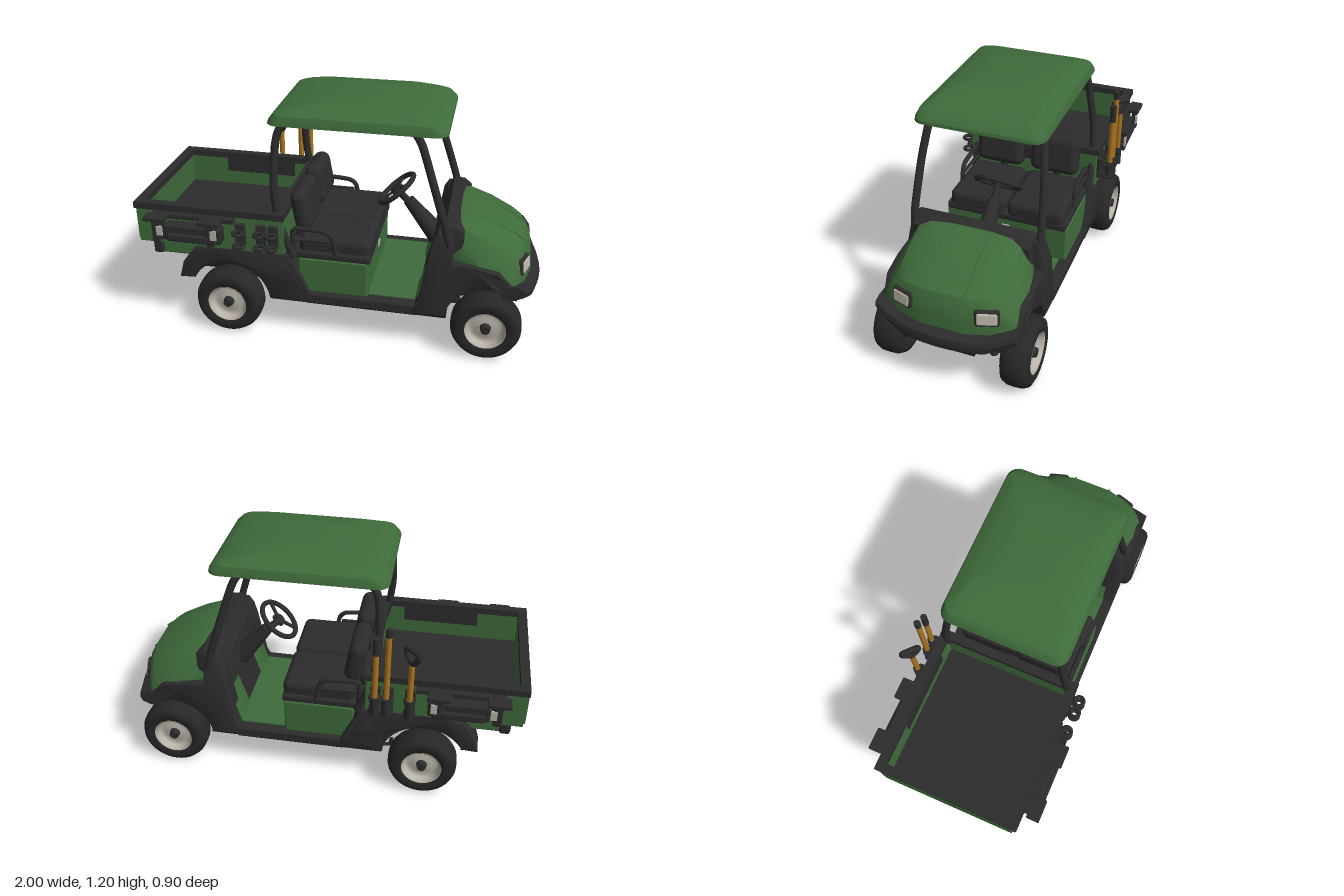
import * as THREE from 'three';
import { toCreasedNormals } from 'three/addons/utils/BufferGeometryUtils.js';
import { RoundedBoxGeometry } from 'three/addons/geometries/RoundedBoxGeometry.js';

const mat = (name, color, side = THREE.FrontSide) => Object.assign(new THREE.MeshStandardMaterial({ color, side }), { name });
const green = mat('green paint', 0x3f6b3b, THREE.DoubleSide), silver = mat('light grey metal', 0xb9b2a8, THREE.DoubleSide);
const black = mat('black plastic', 0x2c2c2c), rubber = mat('tyre rubber', 0x272727);
const dark = mat('dark underside', 0x1d1d1d), wood = mat('wood', 0xa8741f);
const V = (x, y, z) => new THREE.Vector3(x, y, z), O = [0, 0, 0], quarter = Math.PI / 2;
const poly = pts => new THREE.Shape(pts.map(p => new THREE.Vector2(...p)));
const lathe = (pts, n) => new THREE.LatheGeometry(pts.map(p => new THREE.Vector2(...p)), n);

export function createModel() {
  const root = new THREE.Group();
  const place = (obj, name, pos, rot, parent) => {
    obj.name = name;
    obj.position.set(...pos);
    obj.rotation.set(...rot);
    parent.add(obj);
    return obj;
  };
  const add = (name, geo, m, pos = O, rot = O, parent = root) => place(new THREE.Mesh(geo, m), name, pos, rot, parent);
  const group = (name, pos, rot = O) => place(new THREE.Group(), name, pos, rot, root);
  // Box given by its limits on each axis, optionally rounded
  const box = (name, m, x0, x1, y0, y1, z0, z1, r = 0) => {
    const d = [x1 - x0, y1 - y0, z1 - z0], g = r ? new RoundedBoxGeometry(...d, 3, r) : new THREE.BoxGeometry(...d);
    add(name, g, m, [(x0 + x1) / 2, (y0 + y1) / 2, (z0 + z1) / 2]);
  };
  const tube = (name, m, pts, r, closed = false) =>
    add(name, new THREE.TubeGeometry(new THREE.CatmullRomCurve3(pts.map(p => V(...p)), closed, 'catmullrom', 0.3), 28, r, 10, closed), m);
  const rod = (name, m, a, b, r0, r1 = r0) => {
    const A = V(...a), B = V(...b), d = B.clone().sub(A);
    add(name, new THREE.CylinderGeometry(r1, r0, d.length(), 14), m, A.add(B).multiplyScalar(0.5).toArray())
      .quaternion.setFromUnitVectors(V(0, 1, 0), d.normalize());
  };
  // Side-view shape extruded between two z limits, optionally bent by a rule
  const slab = (name, m, shape, z0, z1, bevel = 0.008, bend = p => [p.x, p.y, p.z]) => {
    const g = new THREE.ExtrudeGeometry(shape, { depth: z1 - z0 - 2 * bevel, bevelThickness: bevel, bevelSize: bevel,
      bevelOffset: -bevel, bevelSegments: 2, curveSegments: 20 }).translate(0, 0, z0 + bevel);
    const pos = g.attributes.position;
    for (let i = 0; i < pos.count; i++) pos.setXYZ(i, ...bend(V().fromBufferAttribute(pos, i)));
    add(name, toCreasedNormals(g, 0.6), m);
  };
  // Capped skin over closed rings; winding is set by signed volume
  const loft = (name, m, rings, crease) => {
    const n = rings[0].length, pos = rings.flat(2), idx = [], last = (rings.length - 1) * n;
    for (let a = 0; a < last; a++) {
      const b = a % n === n - 1 ? a - n + 1 : a + 1;
      idx.push(a, b, b + n, a, b + n, a + n);
    }
    for (const base of [0, last]) {
      const c = pos.length / 3;
      for (let q = 0; q < 3; q++) pos.push(rings[base / n].reduce((s, p) => s + p[q], 0) / n);
      for (let j = 0; j < n; j++) idx.push(...(base ? [base + j, base + (j + 1) % n, c] : [(j + 1) % n, j, c]));
    }
    const at = i => V(...pos.slice(i * 3, i * 3 + 3));
    let vol = 0;
    for (let i = 0; i < idx.length; i += 3) vol += at(idx[i]).dot(at(idx[i + 1]).cross(at(idx[i + 2])));
    const g = new THREE.BufferGeometry().setIndex(vol < 0 ? idx.reverse() : idx);
    g.setAttribute('position', new THREE.Float32BufferAttribute(pos, 3));
    add(name, toCreasedNormals(g, crease), m);
  };

  // Wheels and suspension
  const tyre = lathe([[.09, -.05], [.1, -.064], [.135, -.07], [.158, -.06], [.17, -.035], [.172, 0],
    [.17, .035], [.158, .06], [.135, .07], [.1, .064], [.09, .05]], 40);
  const rim = lathe([[.1, .066], [.092, .062], [.086, .035], [.072, .022], [.05, .035], [0, .037]], 32);
  for (const [x, z, label] of [[.755, .315, 'front'], [-.535, .335, 'rear']]) {
    add('differential', new THREE.SphereGeometry(.068, 20, 14), dark, [x, .17, 0]);
    for (const s of [1, -1]) {
      const w = group(label + 'Wheel', [x, .172, s * z], [s * quarter, 0, 0]);
      add('tyre', tyre, rubber, O, O, w);
      add('rim', rim, silver, O, O, w);
      add('innerDrum', new THREE.CylinderGeometry(.092, .092, .06, 28), dark, [0, -.02, 0], O, w);
      add('hubCap', new THREE.CylinderGeometry(.022, .028, .03, 16), black, [0, .047, 0], O, w);
      rod('axle', dark, [x, .17, 0], [x, .17, s * .27], .016);
      for (const dx of [-.07, .07]) {
        rod('lowerArm', dark, [x + dx, .17, s * .04], [x, .14, s * .27], .014);
        rod('upperArm', dark, [x + dx, .22, s * .1], [x, .2, s * .27], .011);
      }
      rod('damper', black, [x + .03, .13, s * .18], [x + .03, .34, s * .16], .02);
      for (let i = 0; i < 4; i++)
        add('springCoil', new THREE.TorusGeometry(.028, .007, 6, 16), black, [x + .03, .2 + i * .03, s * (.175 - i * .003)], [quarter, 0, 0]);
    }
  }

  // Chassis, floor, seat base and bed panels
  for (const b of [
    ['underbody', dark, -.33, .56, .18, .245, -.32, .32], ['rearChassis', dark, -.72, -.2, .28, .47, -.24, .24],
    ['rearFrame', dark, -.7, -.3, .21, .29, -.1, .1], ['frontChassis', dark, .55, .88, .27, .44, -.22, .22],
    ['frontSkid', dark, .55, .9, .2, .28, -.13, .13], ['floor', green, .15, .44, .245, .253, -.29, .29],
    ['rearValance', green, -.945, -.71, .375, .48, -.3, .3, .01], ['seatBase', green, -.18, .17, .25, .44, -.325, .325, .01],
    ['seatLatch', silver, .168, .176, .37, .4, -.02, .02], ['seatDeck', black, -.24, .18, .43, .475, -.32, .32, .015],
    ['seatBackRail', black, -.21, -.16, .6, .7, -.12, .12, .02], ['bedFloor', black, -.965, -.265, .47, .5, -.33, .33],
    ['tailgatePanel', green, -1, -.985, .475, .645, -.34, .34],
  ]) box(...b);

  // Front fender narrows towards the nose and the top
  const front = poly([[.38, .2], [.42, .28], [.46, .5], [.475, .6], [.5, .645], [.57, .65], [.575, .5], [.68, .495], [.8, .47],
    [.87, .425], [.93, .385], [.925, .33]]).absarc(.755, .175, .205, .7, 3, false);
  const rear = poly([[-.72, .275], [-.8, .27], [-.775, .36], [-.72, .43], [-.63, .46], [-.22, .46], [-.13, .28], [-.1, .2], [-.325, .2]])
    .absarc(-.535, .175, .21, .12, 2.68, false);
  const fenderBend = ({ x, y, z }) => {
    const t = Math.max(0, (x - .78) / .16);
    return [x - .5 * t * z * z, y, z * (1 - .06 * t - .65 * Math.max(0, y - .5))];
  };
  for (const s of [1, -1]) {
    const span = (a, b) => s > 0 ? [a, b] : [-b, -a], path = pts => pts.map(([x, y, z]) => [x, y, s * z]);
    slab('frontFender', black, front, ...span(.23, .345), .008, fenderBend);
    slab('rearFender', black, rear, ...span(.22, .35));
    slab('fenderInset', black, poly([[-.32, .29], [-.26, .4], [-.22, .4], [-.17, .29]]), ...span(.348, .355), .001);
    slab('kickPanel', green, poly([[.402, .25], [.408, .247], [.461, .42], [.455, .423]]), ...span(.13, .285), .001);
    box('sill', black, -.14, .42, .19, .25, ...span(.285, .345), .012);
    // Arm rest, step and roof posts
    tube('armRest', black, path([[-.2, .46, .31], [-.2, .59, .31], [-.05, .59, .31], [-.01, .56, .31], [.01, .47, .31]]), .012);
    rod('armRestBar', black, [-.2, .535, s * .31], [-.02, .535, s * .31], .009);
    tube('stepLoop', black, path([[-.37, .2, .22], [-.36, .15, .22], [-.31, .145, .22], [-.28, .2, .22]]), .01);
    tube('rearPost', black, path([[-.2, .44, .325], [-.265, .62, .325], [-.29, .8, .315], [-.285, 1, .285], [-.265, 1.09, .272],
      [-.2, 1.14, .26], [-.1, 1.155, .25]]), .019);
    tube('frontPost', black, path([[.555, .58, .31], [.53, .68, .312], [.46, .9, .298], [.405, 1.06, .277], [.36, 1.125, .268], [.26, 1.15, .255]]), .019);
    // Seat
    add('seatBack', new RoundedBoxGeometry(.09, .21, .26, 4, .042), black, [-.175, .665, s * .15], [0, 0, .17]);
    add('seatCushion', new RoundedBoxGeometry(.36, .1, .3, 4, .035), black, [0, .495, s * .155]);
    rod('seatStay', black, [-.22, .45, s * .15], [-.18, .62, s * .15], .02);
    // Headlight and hood crease
    const lamp = group('headlight', [.903, .46, s * .198], [0, -s * .31, .15]);
    add('lampFrame', new RoundedBoxGeometry(.04, .08, .112, 3, .014), black, O, O, lamp);
    add('lampLens', new RoundedBoxGeometry(.04, .064, .097, 3, .012), silver, [.004, 0, 0], O, lamp);
    tube('hoodCrease', green, path([[.62, .665, .1], [.75, .622, .1], [.86, .57, .1], [.91, .535, .1]]), .005);
    // Side rack with a carrying case
    const side = (name, m, x0, x1, y0, y1, a, b, r) => box(name, m, x0, x1, y0, y1, ...span(a, b), r);
    side('bedLining', black, -.75, -.36, .575, .655, .319, .324);
    side('rackRail', black, -.9, -.48, .625, .645, .35, .39);
    side('sideCase', black, -.83, -.54, .515, .6, .35, .415, .012);
    side('caseLid', black, -.81, -.56, .52, .56, .38, .432, .01);
    side('rearLamp', black, -.94, -.89, .38, .45, .29, .32, .01);
    for (const x of [-.865, -.59]) {
      side('rackBracket', black, x - .025, x + .025, .5, .65, .35, .385, .006);
      side('rackHook', black, x - .055, x + .055, .625, .648, .38, .445, .006);
      side('rackStrap', black, x - .02, x + .02, .51, .63, .4, .43, .006);
      side('buckle', silver, x + .005, x + .035, .55, .6, .425, .434);
    }
    // Tool holders
    for (const x of [-.455, -.35, -.29]) {
      side('holderPlate', black, x - .025, x + .025, .5, .62, .35, .37, .006);
      for (const y of [.515, .585]) add('holderClip', new THREE.TorusGeometry(.023, .009, 8, 18), black, [x, y, s * .4], [quarter, 0, 0]);
    }
  }

  // Dashboard, steering column and wheel
  slab('dashboard', black, poly([[.41, .245], [.462, .42], [.475, .6], [.53, .675], [.585, .67], [.62, .64], [.62, .25], [.5, .245]]), -.29, .29, .012);
  rod('columnShroud', black, [.48, .46, 0], [.32, .65, 0], .055, .03);
  rod('steeringColumn', black, [.36, .6, 0], [.262, .702, 0], .018);
  const steering = group('steeringWheel', [.258, .708, 0]);
  steering.quaternion.setFromUnitVectors(V(0, 0, 1), V(-.66, .75, 0).normalize());
  add('wheelRing', new THREE.TorusGeometry(.108, .013, 10, 36), black, O, O, steering);
  add('wheelHub', new THREE.CylinderGeometry(.03, .035, .02, 16), black, O, [quarter, 0, 0], steering);
  for (let i = 0; i < 3; i++)
    add('spoke', new THREE.BoxGeometry(.1, .018, .01).translate(.055, 0, 0), black, O, [0, 0, i * Math.PI * 2 / 3], steering);

  // Hood: half sections mirrored, bowed back towards the sides and curling down at the nose
  const hood = [[.575, .668, .245, .44, .295], [.62, .668, .25, .44, .305], [.75, .625, .25, .42, .325], [.86, .573, .25, .385, .325],
    [.915, .535, .25, .37, .32], [.94, .49, .26, .365, .318], [.952, .43, .28, .36, .312], [.956, .372, .27, .358, .295]];
  loft('hood', green, hood.map(([x, yt, wt, yb, wb]) => {
    const h = yt - yb;
    const half = [[.1, yt], [wt * .8, yt - h * .03], [wt, yt - h * .12], [(wt + wb) / 2 + .008, yt - h * .4], [wb, yt - h * .7], [wb - .008, yb]];
    return [...half, ...half.map(([z, y]) => [-z, y]).reverse()].map(([z, y]) => [x - .8 * z * z * Math.max(0, (x - .58) / .36), y, z]);
  }), .45);

  // Front bumper swept across the nose
  loft('frontBumper', black, Array.from({ length: 21 }, (_, i) => {
    const z = (i - 10) * .034, lift = Math.max(0, Math.abs(z) - .2), grow = 1 - lift * 2;
    return [[-.11, .368], [-.04, .37], [-.008, .355], [0, .33], [-.01, .295], [-.05, .268], [-.11, .272]]
      .map(([x, y]) => [.998 + x - .65 * z * z, .37 + (y - .37) * grow + lift * .27, z]);
  }), .6);

  // Roof: rounded rectangles stacked into a hollow shell
  const roof = [[-.27, .46, .26, 1.15, .02], [-.3, .5, .295, 1.115, 0], [-.325, .52, .31, 1.115, 0], [-.32, .517, .308, 1.13, 0],
    [-.3, .49, .297, 1.165, .008], [-.275, .455, .265, 1.188, .022], [-.2, .37, .235, 1.2, .02], [0, .2, .1, 1.204, .02]];
  loft('roof', green, roof.map(([x0, x1, w, y, crown]) => Array.from({ length: 24 }, (_, i) => {
    const c = Math.floor(i / 6), a = (c + (i % 6) / 5) * quarter, x = (c % 3 ? x0 + .06 : x1 - .06) + .06 * Math.cos(a);
    return [x, y - crown * ((x - .1) / .42) ** 2, (c < 2 ? w - .06 : .06 - w) + .06 * Math.sin(a)];
  })), .5);

  // Cargo bed walls and rim
  for (const [name, m, x0, x1, w, t, y0, y1] of [['bedWalls', green, -.99, -.24, .352, .03, .465, .655], ['bedRim', black, -1, -.235, .366, .045, .652, .685]]) {
    const shape = poly([[x0, -w], [x1, -w], [x1, w], [x0, w]]);
    shape.holes.push(poly([[x0 + t, t - w], [x0 + t, w - t], [x1 - t, w - t], [x1 - t, t - w]]));
    add(name, new THREE.ExtrudeGeometry(shape, { depth: y1 - y0, bevelEnabled: false }), m, [0, y0, 0], [-quarter, 0, 0]);
  }

  // Hand tools on the right side
  for (const [x, top, cap] of [[-.455, .81, .02], [-.345, .945, .04], [-.29, .84, .09]]) {
    rod('toolHandle', wood, [x, .5, -.415], [x, top, -.415], .014);
    rod('toolGrip', black, [x, top, -.415], [x, top + cap, -.415], .016);
    rod('toolFoot', black, [x, .5, -.415], [x, .6, -.415], .022);
  }
  tube('shovelGrip', black, [[-.455, .81, -.415], [-.482, .85, -.44], [-.482, .878, -.44], [-.428, .878, -.39], [-.428, .85, -.39]], .014, true);
  return root;
}
